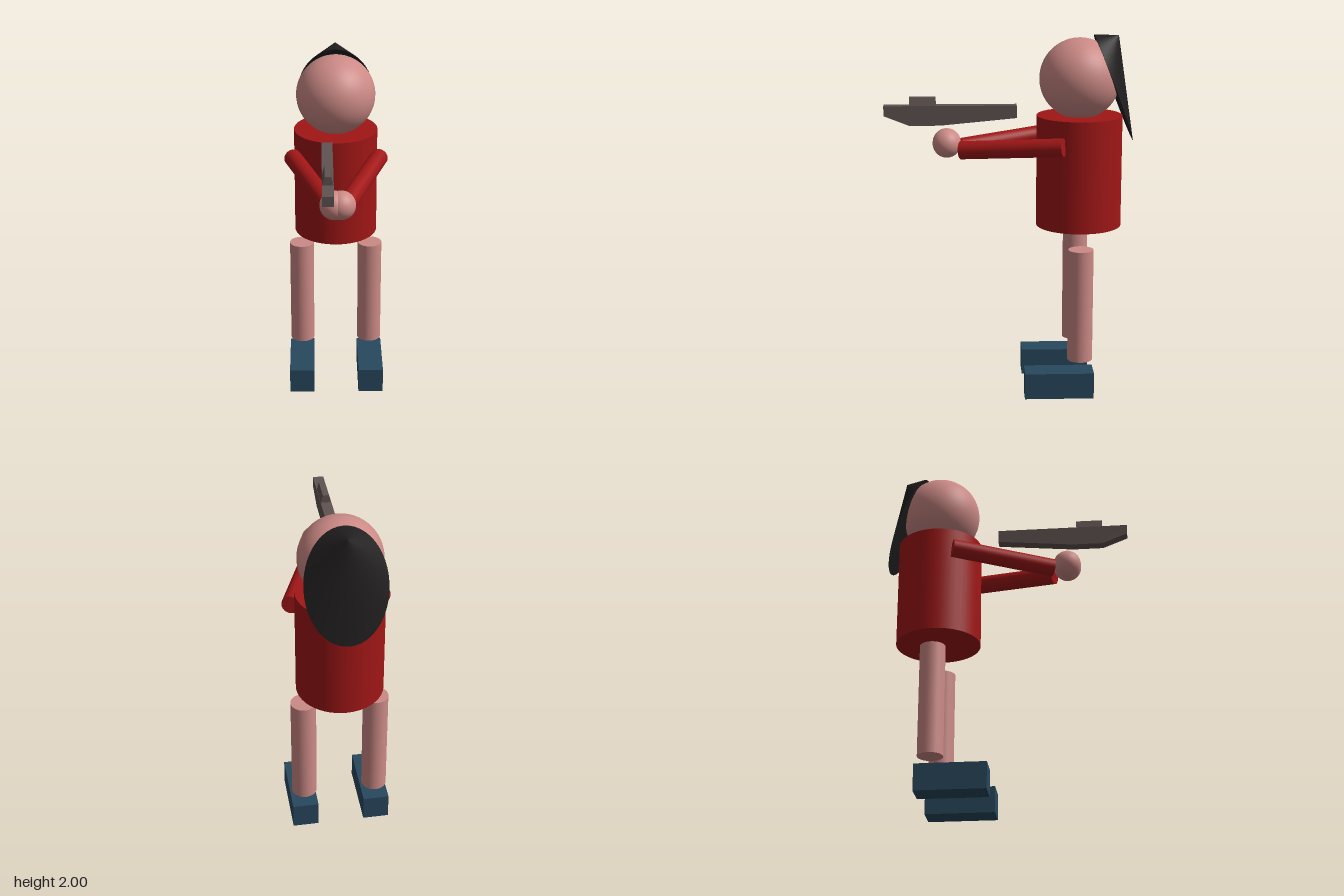
import * as THREE from 'three';

const mat = (color) => new THREE.MeshStandardMaterial({ color });

export function createModel() {
  const model = new THREE.Group();
  const skin = mat(0xcc8a86), red = mat(0xa01616), navy = mat(0x28485e);
  const black = mat(0x1f1d1d), metal = mat(0x5f5350);

  const add = (name, geometry, material, x = 0, y = 0, z = 0) => {
    const mesh = new THREE.Mesh(geometry, material);
    mesh.name = name;
    mesh.position.set(x, y, z);
    model.add(mesh);
    return mesh;
  };

  // Torso and head
  add('torso', new THREE.CylinderGeometry(0.237, 0.237, 0.62, 48), red, 0, 1.25, -0.39);
  add('head', new THREE.SphereGeometry(0.223, 48, 32), skin, 0, 1.763, -0.39);

  // Hair: oblique cone on a tilted oval base
  const hair = new THREE.ConeGeometry(1, 1, 48);
  const axis = new THREE.Vector3(0, 0.29, -0.025);
  hair.applyMatrix4(new THREE.Matrix4()
    .makeBasis(new THREE.Vector3(0.217, 0, 0), axis, new THREE.Vector3(0, 0.29, 0.11))
    .setPosition(0, 1.71 + axis.y / 2, -0.575 + axis.z / 2));
  add('hair', hair, black);

  // Limbs, mirrored
  for (const [side, s] of [['left', 1], ['right', -1]]) {
    add(side + 'Leg', new THREE.CylinderGeometry(0.07, 0.07, 0.635, 32), skin, 0.2 * s, 0.527, -0.39);
    add(side + 'Shoe', new THREE.BoxGeometry(0.145, 0.147, 0.385), navy, 0.203 * s, 0.0735, -0.273);

    const shoulder = new THREE.Vector3(0.245 * s, 1.425, -0.286);
    const wrist = new THREE.Vector3(0.046 * s, 1.375, 0.266);
    const dir = wrist.clone().sub(shoulder);
    const arm = add(side + 'Arm', new THREE.CylinderGeometry(0.05, 0.05, dir.length(), 32), red);
    arm.position.copy(shoulder).lerp(wrist, 0.5);
    arm.quaternion.setFromUnitVectors(new THREE.Vector3(0, 1, 0), dir.normalize());

    add(side + 'Hand', new THREE.SphereGeometry(0.078, 32, 20), skin, 0.019 * s, 1.408, 0.343);
  }

  // Gun body: side profile in (z, y), extruded across x
  const profile = [[0.69, 1.61], [0.69, 1.555], [0.55, 1.5], [0.38, 1.5], [-0.045, 1.54], [-0.045, 1.61]];
  const shape = new THREE.Shape(profile.map(([z, y]) => new THREE.Vector2(-z, y)));
  const body = new THREE.ExtrudeGeometry(shape, { depth: 0.06, bevelEnabled: false });
  body.translate(0, 0, -0.03).rotateY(Math.PI / 2);
  add('gunBody', body, metal, -0.053);

  // Gun sight: trapezoid section extruded along z
  const section = new THREE.Shape([[-0.03, 1.605], [0.03, 1.605], [0.017, 1.656], [-0.017, 1.656]]
    .map(([x, y]) => new THREE.Vector2(x, y)));
  add('gunSight', new THREE.ExtrudeGeometry(section, { depth: 0.147, bevelEnabled: false }), metal, -0.053, 0, 0.402);

  return model;
}
